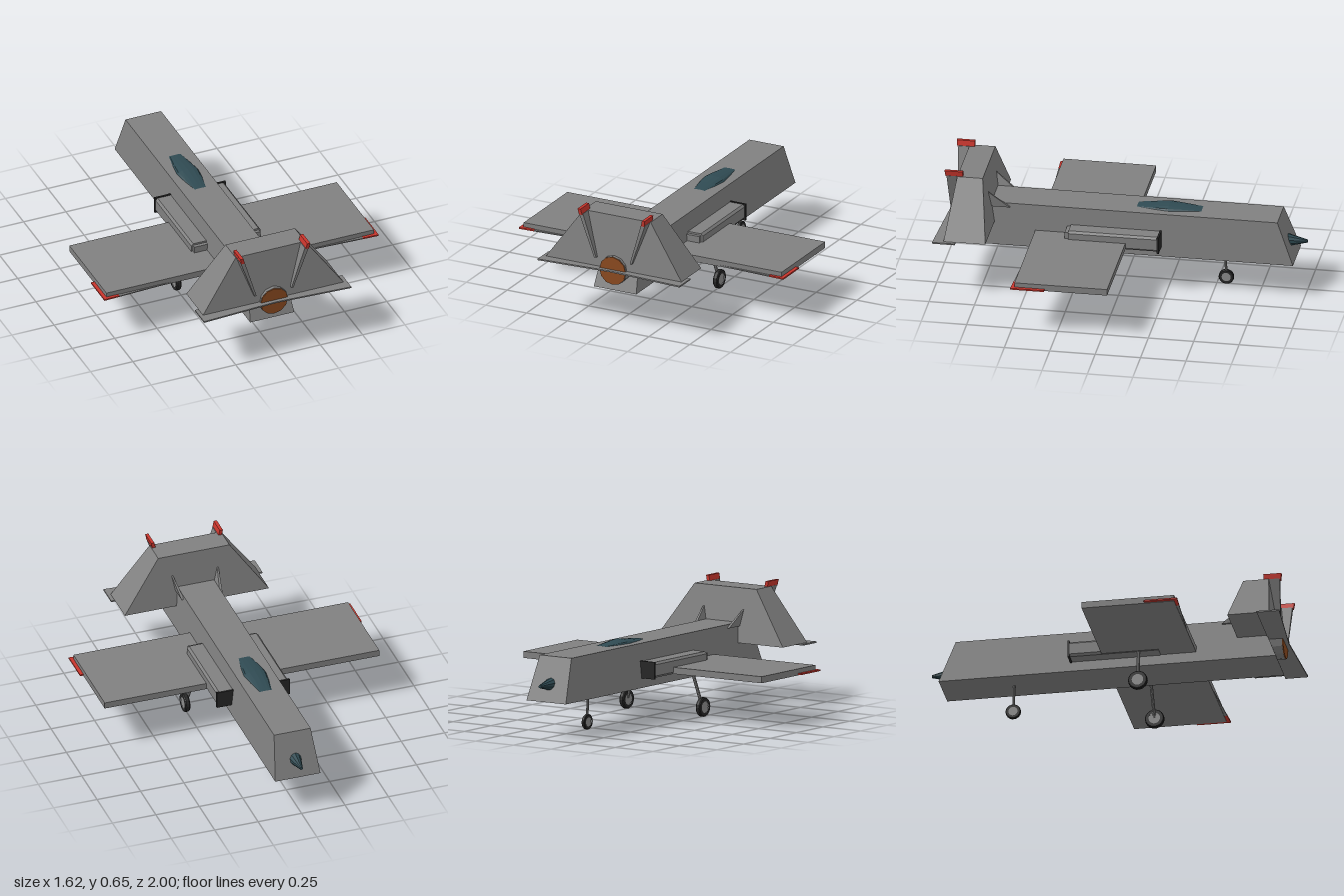
import * as THREE from 'three';

const mat = (name, color) => Object.assign(new THREE.MeshStandardMaterial({ color, flatShading: true }), { name });

export function createModel() {
  const grey = mat('airframe grey', 0x808080);
  const glass = mat('dark teal', 0x2f4a52);
  const red = mat('tip red', 0xc8352c);
  const rust = mat('exhaust rust', 0x8b4a20);
  const black = mat('rubber black', 0x262626);
  const hubGrey = mat('hub grey', 0x8c8c8c);

  const model = new THREE.Group();
  model.name = 'aircraft';
  const add = (name, geo, material, parent = model) => {
    const mesh = new THREE.Mesh(geo, material);
    mesh.name = name;
    parent.add(mesh);
    return mesh;
  };

  // Tapered block: bottom and top rectangles given as [x0, x1, z0, z1]
  const block = (y0, bottom, y1, top = bottom) => {
    const geo = new THREE.BoxGeometry(1, 1, 1);
    const p = geo.attributes.position;
    for (let i = 0; i < p.count; i++) {
      const up = p.getY(i) > 0;
      const r = up ? top : bottom;
      p.setXYZ(i, p.getX(i) > 0 ? r[1] : r[0], up ? y1 : y0, p.getZ(i) > 0 ? r[3] : r[2]);
    }
    geo.computeVertexNormals();
    return geo;
  };

  // Thin horizontal plate from an outline of [x, z] points
  const plate = (points, y, thickness) => {
    const shape = new THREE.Shape(points.map(([x, z]) => new THREE.Vector2(x, -z)));
    return new THREE.ExtrudeGeometry(shape, { depth: thickness, bevelEnabled: false })
      .rotateX(-Math.PI / 2).translate(0, y, 0);
  };

  // Round strut between two points
  const strut = (a, b, radius) => new THREE.TubeGeometry(
    new THREE.LineCurve3(new THREE.Vector3(...a), new THREE.Vector3(...b)), 1, radius, 8);

  // Tyre with a hub showing on both sides
  const wheel = (name, x, z, radius, width) => {
    const g = new THREE.Group();
    g.name = name;
    g.position.set(x, radius + 0.003, z);
    const w = width / 2, r = radius;
    const profile = [[r * 0.6, -w], [r * 0.92, -w], [r, -w * 0.6], [r, w * 0.6], [r * 0.92, w], [r * 0.6, w]];
    add('tyre', new THREE.LatheGeometry(profile.map(([a, b]) => new THREE.Vector2(a, b)), 18)
      .rotateZ(Math.PI / 2), black, g);
    add('hub', new THREE.CylinderGeometry(r * 0.62, r * 0.62, width * 0.85, 14).rotateZ(Math.PI / 2), hubGrey, g);
    model.add(g);
  };

  // Fuselage and tail block
  add('fuselage', block(0.2, [-0.13, 0.13, -0.94, 0.92], 0.44, [-0.105, 0.105, -0.85, 0.83]), grey);
  add('tailBlock', block(0.33, [-0.415, 0.415, 0.705, 0.935], 0.625, [-0.205, 0.205, 0.755, 0.895]), grey);
  add('elevator', plate([[-0.435, 0.87], [-0.435, 0.995], [0, 0.97], [0.435, 0.995], [0.435, 0.87]], 0.322, 0.008), grey);

  // Nose probe
  add('noseCone', new THREE.CylinderGeometry(0.008, 0.036, 0.11, 10)
    .rotateX(-Math.PI / 2).translate(0, 0.293, -0.945), glass);

  // Canopy: low faceted bubble lofted along z
  const stations = [[-0.42, 0.034, 0.002], [-0.32, 0.052, 0.013], [-0.24, 0.063, 0.02], [-0.16, 0.052, 0.011], [-0.065, 0.032, 0.002]];
  const canopy = new THREE.PlaneGeometry(1, 1, 6, stations.length - 1);
  const cp = canopy.attributes.position;
  stations.forEach(([z, halfWidth, height], row) => {
    for (let k = 0; k <= 6; k++) {
      const a = Math.PI * (1 - k / 6);
      cp.setXYZ(row * 7 + k, Math.cos(a) * halfWidth, 0.441 + Math.sin(a) * height, z);
    }
  });
  canopy.computeVertexNormals();
  add('canopy', canopy, glass);

  // Exhaust nozzle with glowing disc
  add('nozzle', new THREE.CylinderGeometry(0.082, 0.082, 0.1, 12).rotateX(Math.PI / 2).translate(0, 0.323, 0.895), grey);
  add('exhaustDisc', new THREE.CylinderGeometry(0.08, 0.08, 0.005, 12).rotateX(Math.PI / 2).translate(0, 0.323, 0.9475), rust);

  // Nose gear
  add('noseStrut', strut([0, 0.21, -0.545], [0, 0.045, -0.552], 0.007), grey);
  wheel('noseWheel', 0, -0.552, 0.042, 0.02);

  for (const s of [1, -1]) {
    const side = s > 0 ? 'left' : 'right';
    // Mirrors a block rectangle across x
    const m = ([x0, x1, z0, z1]) => (s > 0 ? [x0, x1, z0, z1] : [-x1, -x0, z0, z1]);
    const mp = (pts) => pts.map(([x, z]) => [s * x, z]);

    // Wing, trailing flap and red tip
    add(side + 'Wing', block(0.26, m([0.1, 0.79, -0.03, 0.48]), 0.296), grey);
    add(side + 'Flap', plate(mp([[0.41, 0.45], [0.41, 0.481], [0.72, 0.496], [0.72, 0.45]]), 0.263, 0.006), grey);
    add(side + 'WingTip', plate(mp([[0.72, 0.315], [0.72, 0.496], [0.81, 0.5], [0.81, 0.315]]), 0.263, 0.008), red);

    // Intake pod with chamfered corners and dark mouth
    const c = 0.012, x0 = 0.09, x1 = 0.205, y0 = 0.257, y1 = 0.343;
    const section = new THREE.Shape([[x0, y0], [x1 - c, y0], [x1, y0 + c], [x1, y1 - c], [x1 - c, y1], [x0, y1]]
      .map(([x, y]) => new THREE.Vector2(s * x, y)));
    add(side + 'Pod', new THREE.ExtrudeGeometry(section, { depth: 0.49, bevelEnabled: false })
      .translate(0, 0, -0.205), grey);
    add(side + 'PodTail', block(y0 + 0.01, m([x0, x1 - 0.01, 0.28, 0.305]), y1 - 0.01), grey);
    add(side + 'IntakeMouth', block(0.252, m([0.1, 0.21, -0.215, -0.204]), 0.347), black);

    // Canted rudder, red cap and leading fillet
    add(side + 'Rudder', block(0.38, m([0.103, 0.115, 0.9, 0.945]), 0.625, m([0.178, 0.202, 0.87, 0.955])), grey);
    add(side + 'RudderCap', block(0.62, m([0.18, 0.2, 0.865, 0.96]), 0.655, m([0.188, 0.206, 0.865, 0.965])), red);
    add(side + 'FinFillet', block(0.42, m([0.102, 0.118, 0.62, 0.8]), 0.51, m([0.127, 0.135, 0.735, 0.8])), grey);

    // Main gear
    add(side + 'MainStrut', strut([s * 0.18, 0.27, 0.172], [s * 0.248, 0.058, 0.182], 0.009), grey);
    wheel(side + 'MainWheel', s * 0.253, 0.182, 0.053, 0.028);
  }
  return model;
}
